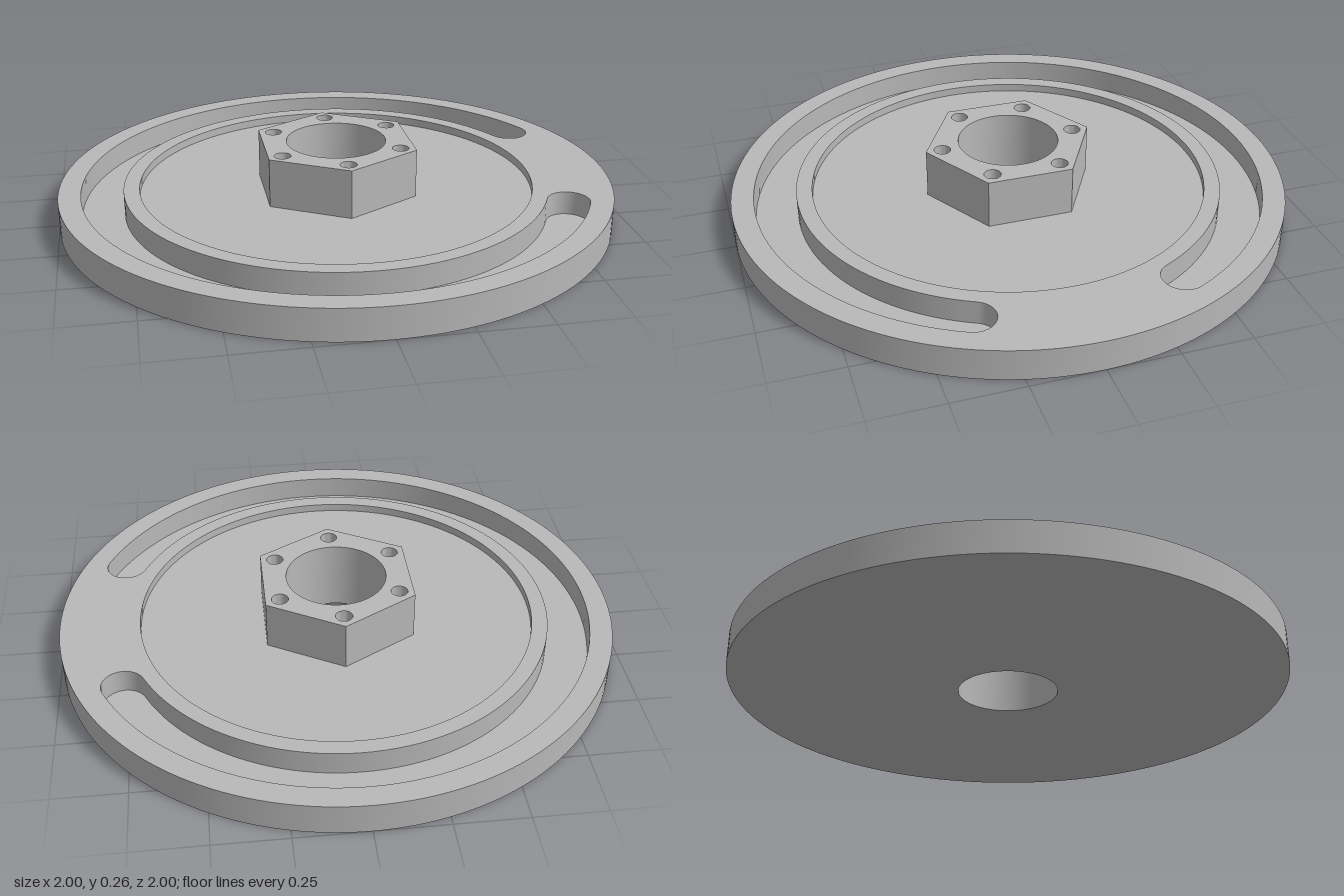
import * as THREE from 'three';
import { toCreasedNormals } from 'three/addons/utils/BufferGeometryUtils.js';

const TAU = Math.PI * 2;

// Points on an arc; the plan is drawn in x and -z, counter-clockwise from above
function arc(cx, cy, r, from, to, n) {
  return Array.from({ length: n + 1 }, (_, i) => {
    const a = from + (to - from) * i / n;
    return new THREE.Vector2(cx + r * Math.cos(a), cy + r * Math.sin(a));
  });
}
const circle = (r, n = 128, cx = 0, cy = 0, start = 0) =>
  arc(cx, cy, r, start, start + TAU, n).slice(0, n);

// C-shaped outline with round ends, open towards +x
function slotOutline(inner, outer, a) {
  const mid = (inner + outer) / 2, r = (outer - inner) / 2;
  const x = mid * Math.cos(a), y = mid * Math.sin(a);
  return [
    ...arc(0, 0, outer, a, TAU - a, 110),
    ...arc(x, -y, r, -a, Math.PI - a, 16).slice(1),
    ...arc(0, 0, inner, TAU - a, a, 110).slice(1),
    ...arc(x, y, r, a + Math.PI, a + TAU, 16).slice(1, -1),
  ];
}

// Flat face with holes at a height
function face(outline, holes, y, down = false) {
  const shape = new THREE.Shape(outline);
  shape.holes = holes.map((h) => new THREE.Path(h));
  const g = new THREE.ShapeGeometry(shape);
  g.rotateX(down ? Math.PI / 2 : -Math.PI / 2);
  return g.translate(0, y, 0);
}

// Upright wall along an outline; a hole's wall faces inwards
function wall(outline, y0, y1, hole = false) {
  const pts = hole ? [...outline].reverse() : outline;
  const pos = [], idx = [], n = pts.length;
  pts.forEach((p, i) => {
    pos.push(p.x, y0, -p.y, p.x, y1, -p.y);
    const a = 2 * i, b = 2 * ((i + 1) % n);
    idx.push(a, b, b + 1, a, b + 1, a + 1);
  });
  const g = new THREE.BufferGeometry();
  g.setAttribute('position', new THREE.Float32BufferAttribute(pos, 3));
  g.setIndex(idx);
  return toCreasedNormals(g, 0.6);
}

export function createModel() {
  const metal = new THREE.MeshStandardMaterial({ color: 0xb8b8b8 });
  metal.name = 'grey metal';

  const model = new THREE.Group();
  model.name = 'slottedDisc';
  const group = (name) => {
    const g = new THREE.Group();
    g.name = name;
    model.add(g);
    return g;
  };
  const add = (parent, name, geometry) => {
    const m = new THREE.Mesh(geometry, metal);
    m.name = name;
    parent.add(m);
  };

  const top = 0.113, recessY = 0.083, slotY = 0.028, hubTop = 0.26;
  const rim = circle(1, 160), recess = circle(0.713), bore = circle(0.18, 64);
  const slot = slotOutline(0.77, 0.92, 0.432);
  const hex = circle(0.305, 6, 0, 0, Math.PI / 6);

  // Disc with a shallow round recess
  const disc = group('disc');
  add(disc, 'rimWall', wall(rim, 0, top));
  add(disc, 'underside', face(rim, [bore], 0, true));
  add(disc, 'topFace', face(rim, [slot, recess], top));
  add(disc, 'recessWall', wall(recess, recessY, top, true));
  add(disc, 'recessFloor', face(recess, [hex], recessY));

  // Curved groove
  const groove = group('groove');
  add(groove, 'grooveWall', wall(slot, slotY, top, true));
  add(groove, 'grooveFloor', face(slot, [], slotY));

  // Six-sided hub with a through bore and a small hole near each corner
  const hub = group('hub');
  const holes = Array.from({ length: 6 }, (_, i) => {
    const a = Math.PI / 6 + i * TAU / 6;
    return circle(0.03, 24, 0.245 * Math.cos(a), 0.245 * Math.sin(a));
  });
  add(hub, 'hubSides', wall(hex, recessY, hubTop));
  add(hub, 'hubTop', face(hex, [bore, ...holes], hubTop));
  add(hub, 'bore', wall(bore, 0, hubTop, true));
  for (const h of holes) {
    add(hub, 'boltHoleWall', wall(h, hubTop - 0.09, hubTop, true));
    add(hub, 'boltHoleFloor', face(h, [], hubTop - 0.09));
  }
  return model;
}
